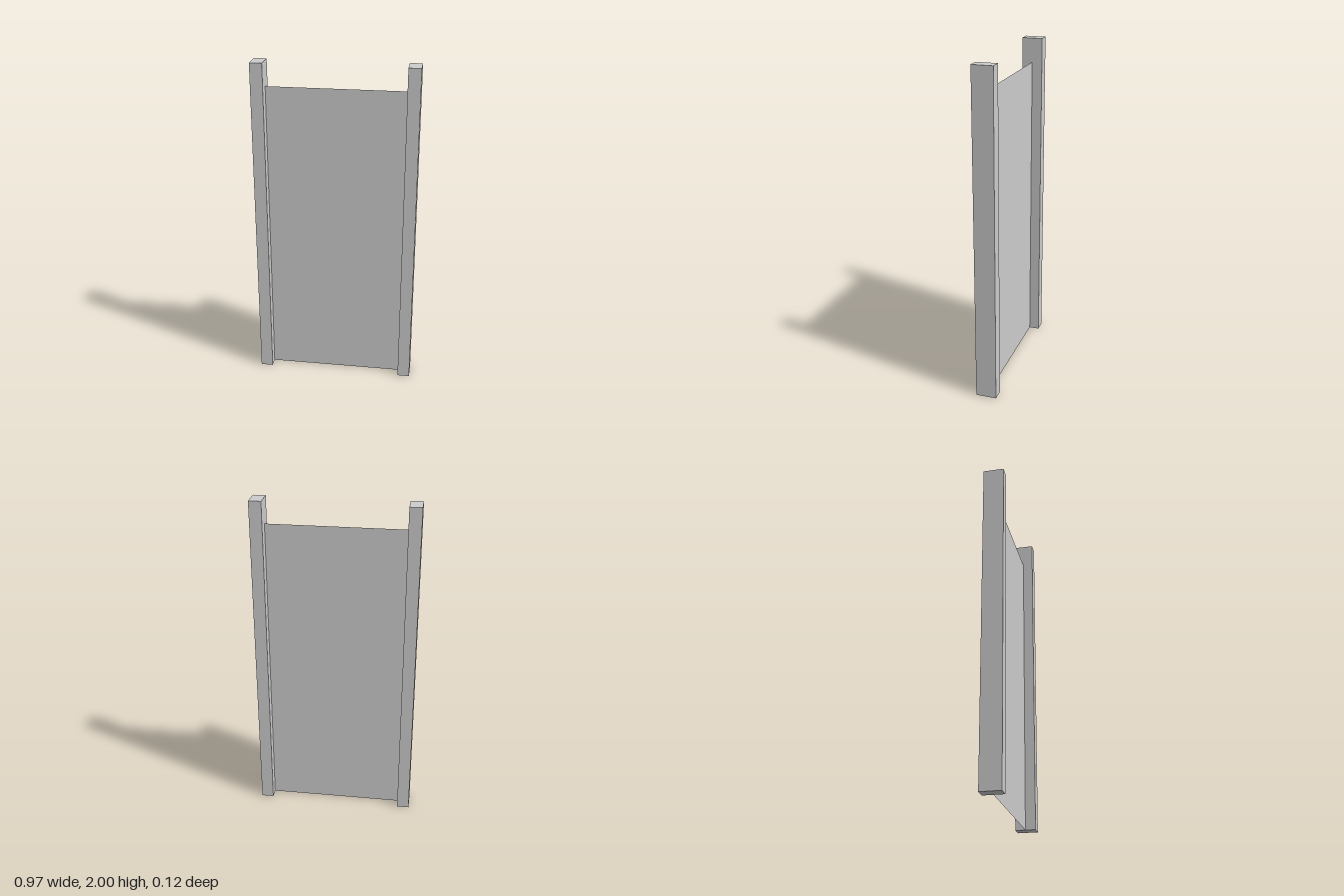
import * as THREE from 'three';

export function createModel() {
  const model = new THREE.Group();
  const material = new THREE.MeshStandardMaterial({ color: 0xcccccc, flatShading: true });
  const sheetMaterial = material.clone();
  sheetMaterial.side = THREE.DoubleSide;

  const width = 0.97, postWidth = 0.074, postDepth = 0.125, postHeight = 2;
  const panelHeight = 1.853;

  // Two upright posts, mirrored left and right
  for (const [name, side] of [['leftPost', 1], ['rightPost', -1]]) {
    const post = new THREE.Mesh(new THREE.BoxGeometry(postWidth, postHeight, postDepth), material);
    post.name = name;
    post.position.set(side * (width - postWidth) / 2, postHeight / 2, 0);
    model.add(post);
  }

  // Thin sheet stretched between the posts, seen from both sides
  const panel = new THREE.Mesh(
    new THREE.PlaneGeometry(width - 2 * postWidth, panelHeight),
    sheetMaterial
  );
  panel.name = 'panel';
  panel.position.y = panelHeight / 2;
  model.add(panel);

  return model;
}
